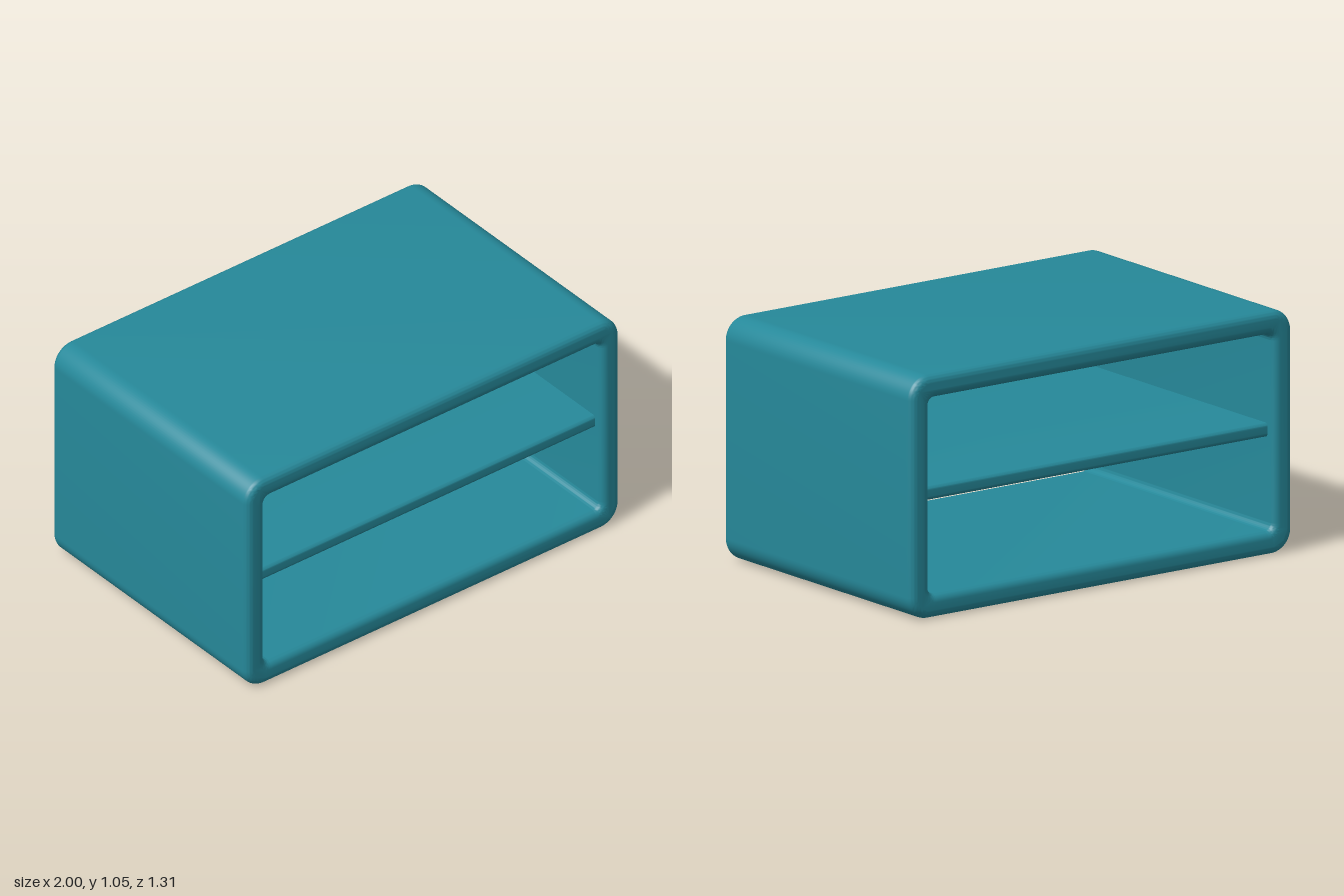
import * as THREE from 'three';
import { toCreasedNormals } from 'three/addons/utils/BufferGeometryUtils.js';

const WIDTH = 2, HEIGHT = 1.05, DEPTH = 1.31, WALL = 0.102, BEVEL = 0.035;

// Traces a centred rounded rectangle onto a Shape or Path
function roundedRect(path, w, h, r) {
  const x = w / 2 - r, y = h / 2 - r, q = Math.PI / 2;
  path.absarc(x, y, r, 0, q);
  path.absarc(-x, y, r, q, 2 * q);
  path.absarc(-x, -y, r, 2 * q, 3 * q);
  path.absarc(x, -y, r, 3 * q, 4 * q);
  path.closePath();
  return path;
}

export function createModel() {
  const group = new THREE.Group();
  group.name = 'openShelfCabinet';
  const teal = new THREE.MeshStandardMaterial({ color: 0x26899a });
  teal.name = 'teal';

  // Rounded tube-like shell, open at front and back, with soft rims
  const outline = roundedRect(new THREE.Shape(), WIDTH, HEIGHT, 0.1);
  outline.holes.push(roundedRect(new THREE.Path(), WIDTH - 2 * WALL, HEIGHT - 2 * WALL, 0.03));
  const shellGeometry = new THREE.ExtrudeGeometry(outline, {
    depth: DEPTH - 2 * BEVEL, curveSegments: 8,
    bevelEnabled: true, bevelThickness: BEVEL, bevelSize: BEVEL, bevelOffset: -BEVEL, bevelSegments: 8,
  });
  shellGeometry.translate(0, HEIGHT / 2, -DEPTH / 2 + BEVEL);
  const shell = new THREE.Mesh(toCreasedNormals(shellGeometry, 0.5), teal);
  shell.name = 'shell';
  group.add(shell);

  // Middle shelf: rounded profile swept between the side walls
  const span = WIDTH - 2 * WALL + 0.004;
  const shelfGeometry = new THREE.ExtrudeGeometry(
    roundedRect(new THREE.Shape(), 1.22, 0.06, 0.016),
    { depth: span, curveSegments: 6, bevelEnabled: false });
  shelfGeometry.translate(0, 0, -span / 2).rotateY(Math.PI / 2);
  const shelf = new THREE.Mesh(toCreasedNormals(shelfGeometry, 0.5), teal);
  shelf.name = 'shelf';
  shelf.position.y = 0.528;
  group.add(shelf);

  return group;
}
